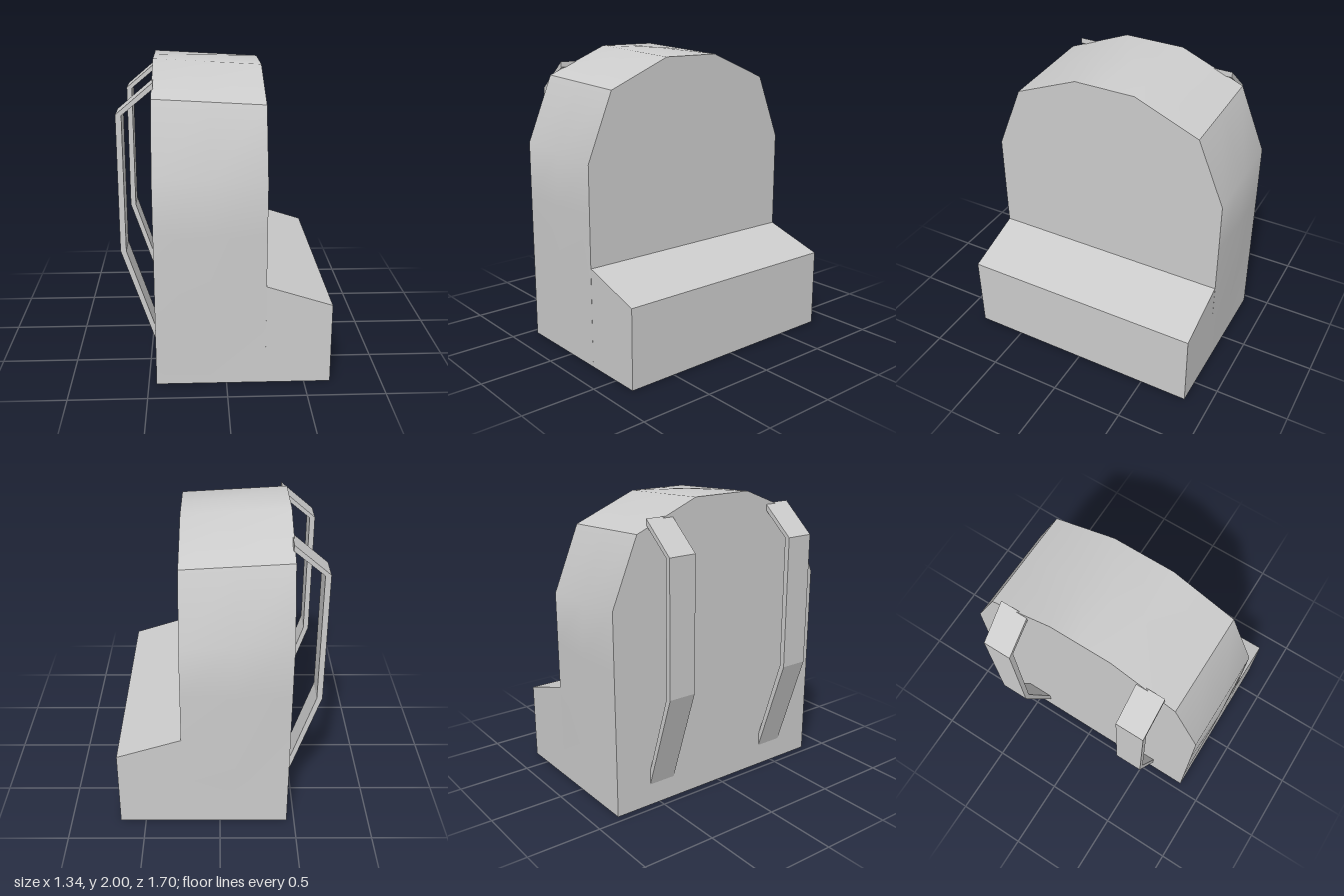
import * as THREE from 'three';
import { toCreasedNormals } from 'three/addons/utils/BufferGeometryUtils.js';

const grey = () => new THREE.MeshStandardMaterial({ color: 0xcccccc });

// Extrudes an outline in x,y along z, from z0 to z1
function slab(points, z0, z1) {
  const shape = new THREE.Shape(points.map(([x, y]) => new THREE.Vector2(x, y)));
  return new THREE.ExtrudeGeometry(shape, { depth: z1 - z0, bevelEnabled: false }).translate(0, 0, z0);
}

// Arched body: three cross-sections along x, the middle one slightly swollen
function bodyGeometry() {
  const half = (drop, swell) => [
    [0.83, 0], [0.83, 0.34], [0.832 + 0.016 * swell, 1.0], [0.832, 1.38 - drop],
    [0.65, 1.82 - drop], [0.21, 2 - drop], [0, 2 - drop + 0.015 * swell],
  ];
  const sections = [[-0.45, 0, 0], [-0.1, 0.02, 1], [0.25, 0.04, 0]].map(([x, drop, swell]) => {
    const right = half(drop, swell);
    const left = right.slice(0, -1).reverse().map(([z, y]) => [-z, y]);
    return [...right, ...left].map(([z, y]) => [x, y, z]);
  });
  const n = sections[0].length;
  const pos = [];
  const tri = (a, b, c) => pos.push(...a, ...b, ...c);
  for (let s = 0; s < 2; s++) {
    for (let i = 0; i < n; i++) {
      const j = (i + 1) % n;
      const [a, b, c, d] = [sections[s][i], sections[s + 1][i], sections[s + 1][j], sections[s][j]];
      tri(a, b, c);
      tri(a, c, d);
    }
  }
  // Flat end faces
  const [back, , front] = sections;
  for (let i = 1; i < n - 1; i++) {
    tri(back[0], back[i], back[i + 1]);
    tri(front[0], front[i + 1], front[i]);
  }
  const g = new THREE.BufferGeometry();
  g.setAttribute('position', new THREE.Float32BufferAttribute(pos, 3));
  return toCreasedNormals(g, Math.PI / 6);
}

export function createModel() {
  const group = new THREE.Group();
  const add = (name, geometry) => {
    const mesh = new THREE.Mesh(geometry, grey());
    mesh.name = name;
    group.add(mesh);
  };

  add('body', bodyGeometry());

  // Pocket with a sloping lid
  add('pocket', slab([[0.25, 0], [0.67, 0], [0.67, 0.535], [0.25, 0.67]], -0.83, 0.83));

  // Pair of shoulder straps, bent out from the flat side of the body
  const strap = [
    [-0.45, 0.15], [-0.45, 0.25], [-0.635, 0.82], [-0.635, 1.705],
    [-0.437, 1.868], [-0.44, 1.905], [-0.672, 1.71], [-0.672, 0.82],
  ];
  add('leftStrap', slab(strap, -0.575, -0.385));
  add('rightStrap', slab(strap, 0.38, 0.57));
  return group;
}
